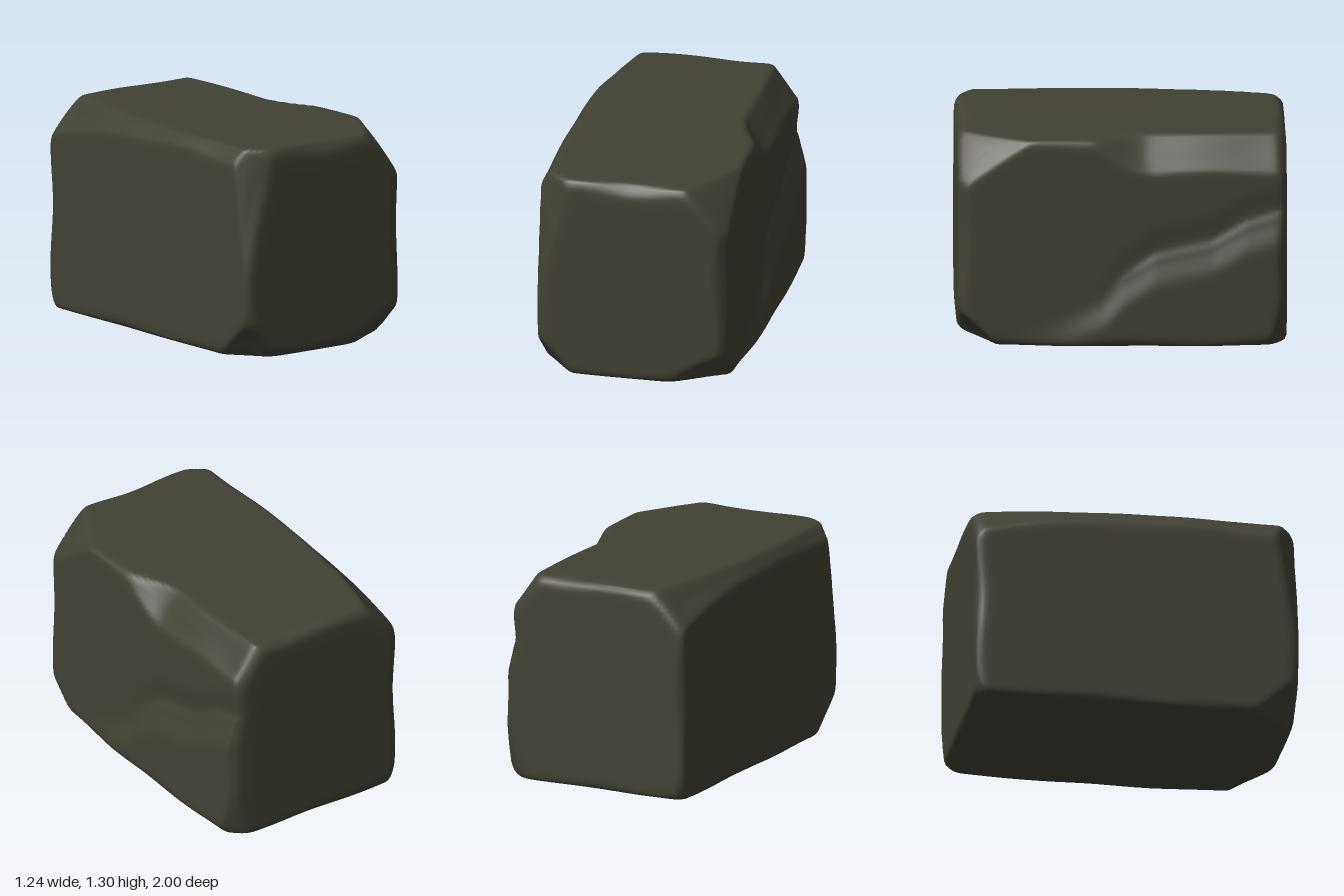
import * as THREE from 'three';
import { mergeVertices } from 'three/addons/utils/BufferGeometryUtils.js';

const X0 = -0.62, X1 = 0.57, HALF_H = 0.65, HALF_Z = 1;
const INF = Infinity;
const smooth = THREE.MathUtils.smoothstep;

// Chips off the block: corner signs, then how far each cut reaches along x, y, z.
// A last 1 marks a cut that ends halfway along the block.
const CUTS = [
  // edge bevels
  [1, 1, 1, 0.02, 0.03, INF], [-1, 1, 1, 0.07, 0.1, INF],
  [1, 1, 1, INF, 0.07, 0.05], [1, 1, -1, INF, 0.045, 0.055],
  [1, 1, 1, 0.05, INF, 0.05], [-1, 1, 1, 0.03, INF, 0.04],
  [1, 1, -1, 0.06, INF, 0.05], [-1, 1, -1, 0.04, INF, 0.04],
  [1, -1, 1, 0.03, 0.04, INF], [-1, -1, 1, 0.015, 0.02, INF],
  [1, -1, 1, INF, 0.03, 0.04], [1, -1, -1, INF, 0.015, 0.015],
  [1, 1, -1, 0.15, 0.2, INF, 1],
  // broken corners
  [1, 1, 1, 0.29, 0.33, 0.46], [-1, 1, 1, 0.2, 0.25, 0.15],
  [-1, 1, 1, 0.18, 0.8, 0.15],
  [-1, 1, -1, 0.22, 0.22, 1.3],
  [1, 1, -1, 0.26, 0.3, 0.19], [-1, 1, -1, 0.27, 0.28, 0.2],
  [1, -1, 1, 0.43, 0.25, 0.23], [-1, -1, 1, 0.26, 0.27, 0.26],
  [-1, -1, 1, 0.08, 0.7, 0.07],
  [1, -1, -1, 0.14, 0.14, 0.14], [1, -1, -1, 0.1, 0.5, 0.09],
  [-1, -1, -1, 0.07, 0.1, 0.07],
];

const wobble = (p, s) =>
  Math.sin(p.x * 9 + s) * Math.sin(p.y * 8 + s * 2.3) + Math.sin(p.z * 7 + s * 1.7) * 0.8;

function planes() {
  const list = [
    [1, 0, 0, X1], [-1, 0, 0, -X0], [0, 1, 0, HALF_H],
    [0, -1, 0, HALF_H], [0, 0, 1, HALF_Z], [0, 0, -1, HALF_Z],
  ].map(([x, y, z, d]) => ({ n: new THREE.Vector3(x, y, z), d, rough: 0, ends: 0 }));
  for (const [sx, sy, sz, a, b, c, ends = 0] of CUTS) {
    const n = new THREE.Vector3(sx / a, sy / b, sz / c);
    const corner = new THREE.Vector3(sx > 0 ? X1 : X0, sy * HALF_H, sz * HALF_Z);
    list.push({ n, d: n.dot(corner) - 1, rough: 0.009, ends });
  }
  return list;
}

// Upper line of the ledge on the right side, as [z, y] from back to front
const LEDGE = [[-1, 0.85], [-0.75, 0.77], [-0.55, 0.65], [-0.2, 0.57], [0, 0.44], [0.1, 0.32], [0.35, 0.2], [0.7, 0.09]];

function ledgeHeight(z) {
  for (let i = 1; i < LEDGE.length; i++) {
    const [z0, y0] = LEDGE[i - 1], [z1, y1] = LEDGE[i];
    if (z <= z1) return THREE.MathUtils.lerp(y0, y1, Math.max(0, (z - z0) / (z1 - z0)));
  }
  return 0;
}

// Block shrunk along rays from its centre until it lies inside every cut
function stoneGeometry() {
  const box = new THREE.BoxGeometry(X1 - X0, HALF_H * 2, HALF_Z * 2, 48, 50, 72);
  box.translate((X0 + X1) / 2, 0, 0);
  box.deleteAttribute('uv');
  box.deleteAttribute('normal');
  const geometry = mergeVertices(box, 1e-4);
  const pos = geometry.attributes.position;
  const cuts = planes();
  const p = new THREE.Vector3();
  const K = 130;
  for (let i = 0; i < pos.count; i++) {
    p.fromBufferAttribute(pos, i);
    const fade = 1.2 * smooth(p.z, -0.2, 0.4);
    let sum = 0;
    cuts.forEach(({ n, d, rough, ends }, k) => {
      const r = n.dot(p) / ((d + ends * fade) * (1 + rough * wobble(p, k)));
      if (r > 0) sum += r ** K;
    });
    p.multiplyScalar(sum ** (-1 / K));
    p.y += HALF_H;
    // raised ledge thinning toward the front, with a shallow groove above it
    const drop = ledgeHeight(p.z) - p.y;
    const thick = 0.05 * (1 - smooth(p.z, 0, 0.8));
    const groove = 0.015 * smooth(drop, -0.2, -0.03) * (1 - smooth(drop, -0.03, 0.03)) * (1 - smooth(p.z, -0.2, 0.2));
    p.x += (thick * smooth(drop, -0.01, 0.22) - groove) * smooth(p.x, 0.3, 0.5);
    pos.setXYZ(i, p.x, p.y, p.z);
  }
  geometry.computeVertexNormals();
  return geometry;
}

export function createModel() {
  const group = new THREE.Group();
  group.name = 'stoneBlock';
  const stone = new THREE.MeshStandardMaterial({ color: 0x424135 });
  stone.name = 'dark olive stone';
  const block = new THREE.Mesh(stoneGeometry(), stone);
  block.name = 'block';
  group.add(block);
  return group;
}
